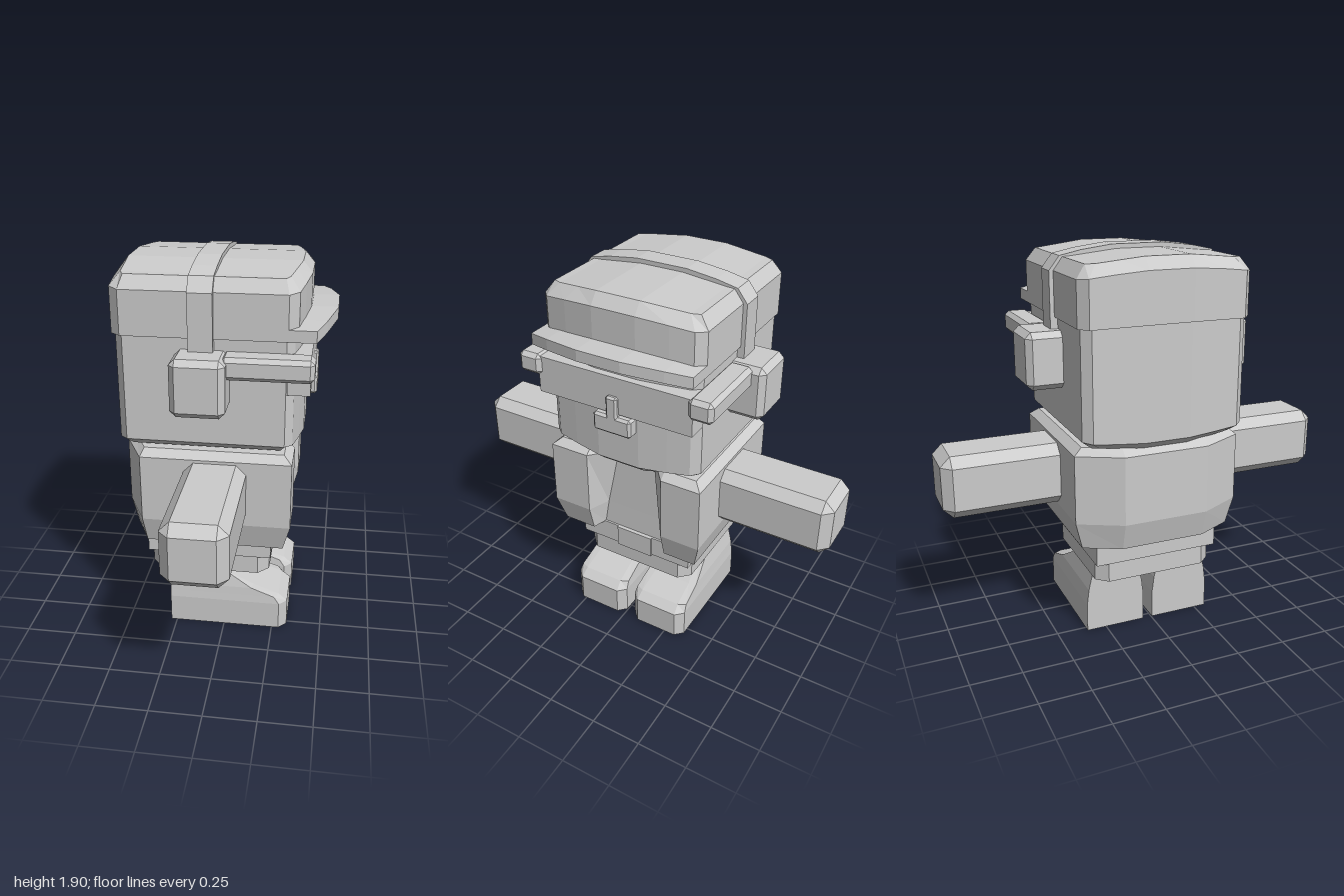
import * as THREE from 'three';
import { ConvexGeometry } from 'three/addons/geometries/ConvexGeometry.js';

const paleGrey = new THREE.MeshStandardMaterial({ color: 0xcccccc });
paleGrey.name = 'paleGrey';

function add(parent, geometry, name) {
  const mesh = new THREE.Mesh(geometry, paleGrey);
  mesh.name = name;
  parent.add(mesh);
  return mesh;
}

// Flat-faced loft. Each ring, from low to high, is a list of rows [z, xBack, xFront, y] with z rising.
function loft(rings) {
  const pos = [];
  const tri = (...pts) => pts.forEach(p => pos.push(...p));
  const quad = (a, b, c, d) => tri(a, b, c, a, c, d);
  const loops = rings.map(rows => [
    ...rows.map(([z, , xf, y]) => [xf, y, z]),
    ...rows.map(([z, xb, , y]) => [xb, y, z]).reverse(),
  ]);
  const n = loops[0].length;
  for (let j = 0; j + 1 < loops.length; j++) {
    for (let i = 0; i < n; i++) {
      const k = (i + 1) % n;
      quad(loops[j][i], loops[j + 1][i], loops[j + 1][k], loops[j][k]);
    }
  }
  const low = loops[0], top = loops[loops.length - 1];
  for (let i = 0; i + 1 < n / 2; i++) {
    quad(top[i], top[n - 1 - i], top[n - 2 - i], top[i + 1]);
    quad(low[i], low[i + 1], low[n - 2 - i], low[n - 1 - i]);
  }
  const g = new THREE.BufferGeometry();
  g.setAttribute('position', new THREE.Float32BufferAttribute(pos, 3));
  g.computeVertexNormals();
  return g;
}

// Mirrors rows given from the outer side (+z) to the middle
function mirrored(rows) {
  return [...rows.map(([z, ...r]) => [-z, ...r]), ...rows.slice().reverse()];
}

// Box with every edge cut by c
function chamferBox(x0, x1, y0, y1, z0, z1, c) {
  const h = [(x1 - x0) / 2, (y1 - y0) / 2, (z1 - z0) / 2];
  const pts = [];
  for (const sx of [-1, 1]) for (const sy of [-1, 1]) for (const sz of [-1, 1]) {
    for (let axis = 0; axis < 3; axis++) {
      const d = h.map((v, i) => (i === axis ? v : v - c));
      pts.push(new THREE.Vector3(sx * d[0], sy * d[1], sz * d[2]));
    }
  }
  return new ConvexGeometry(pts).translate((x0 + x1) / 2, (y0 + y1) / 2, (z0 + z1) / 2);
}

function box(x0, x1, y0, y1, z0, z1) {
  return new THREE.BoxGeometry(x1 - x0, y1 - y0, z1 - z0)
    .translate((x0 + x1) / 2, (y0 + y1) / 2, (z0 + z1) / 2);
}

// Bulging head outline, shrunk by inset; y differs at the sides, near the sides and in the middle
function headRing(inset, ys, yn, ym, grow = 0) {
  const o = grow - inset;
  return mirrored([
    [0.40 + o, -0.45 - o * 0.4, 0.295 + o * 0.4, ys],
    [0.36 + o, -0.488 - o, 0.33 + o, yn],
    [0.25 + o, -0.496 - o, 0.35 + o, (yn + ym) / 2],
    [0.11, -0.505 - o, 0.37 + o, ym],
  ]);
}

function torsoRing(y, inset, notchX, notchZ) {
  return mirrored([
    [0.418 - inset, -0.39 + inset * 0.4, 0.335 - inset, y],
    [0.21, -0.495 + inset, 0.335 - inset, y],
    [notchZ, -0.495 + inset, notchX, y],
  ]);
}

function footRing(y, xf, inset, corner) {
  const a = 0.025 + inset, b = 0.33 - inset;
  return [[a, -0.28, xf - corner, y], [a + 0.04, -0.28, xf, y],
    [b - 0.04, -0.28, xf, y], [b, -0.28, xf - corner, y]];
}

export function createModel() {
  const model = new THREE.Group();
  model.name = 'figure';
  const body = new THREE.Group();
  body.name = 'body';
  body.position.z = -0.02;
  model.add(body);

  // Head with a bevelled chin
  add(body, loft([
    headRing(0.05, 1.03, 1.025, 1.0),
    headRing(0, 1.07, 1.065, 1.045),
    headRing(0, 1.62, 1.62, 1.62),
  ]), 'head');

  // Cap with arched crown and curved brim
  add(body, loft([
    headRing(0, 1.58, 1.58, 1.585, 0.015),
    headRing(0, 1.79, 1.795, 1.82, 0.015),
    headRing(0.045, 1.85, 1.852, 1.875, 0.015),
  ]), 'cap');
  const brimRing = t => mirrored([
    [0.415, 0.2, 0.425, 1.58 + t], [0.30, 0.2, 0.465, 1.595 + t], [0.11, 0.2, 0.51, 1.61 + t]]);
  add(body, loft([brimRing(0), brimRing(0.055)]), 'capBrim');

  // Headband over the cap
  const arch = [[0.435, 1.45], [0.435, 1.79], [0.385, 1.855], [0.28, 1.877], [0.13, 1.896]];
  const outer = [...arch, ...arch.map(([u, y]) => [-u, y]).reverse()];
  const inner = outer.map(([u, y]) => [u * 0.88, y - 0.045]).reverse();
  inner[0][1] = inner[inner.length - 1][1] = 1.45;
  const band = new THREE.Shape([...outer, ...inner].map(p => new THREE.Vector2(...p)));
  add(body, new THREE.ExtrudeGeometry(band, { depth: 0.113, bevelEnabled: false })
    .rotateY(Math.PI / 2).translate(-0.143, 0, 0), 'headband');

  // Visor plate and nose piece
  add(body, box(0.3, 0.405, 1.33, 1.515, -0.405, 0.405), 'visor');
  add(body, chamferBox(0.34, 0.425, 1.225, 1.32, -0.1, 0.1, 0.012), 'nose');
  add(body, chamferBox(0.34, 0.425, 1.29, 1.42, -0.03, 0.03, 0.01), 'noseBridge');

  // Ear cups, side bars and feet on both sides
  for (const s of [1, -1]) {
    const side = s > 0 ? 'left' : 'right';
    const span = (a, b) => (s > 0 ? [a, b] : [-b, -a]);
    add(body, chamferBox(-0.21, 0.04, 1.255, 1.525, ...span(0.36, 0.57), 0.028), side + 'EarCup');
    add(body, chamferBox(0.01, 0.425, 1.42, 1.525, ...span(0.385, 0.507), 0.02), side + 'VisorBar');
    add(model, chamferBox(-0.18, 0.12, 0.665, 0.97, ...span(0.3, 1), 0.048), side + 'Arm');
    const rings = [
      footRing(0, 0.325, 0, 0.04), footRing(0.145, 0.325, 0, 0.04),
      footRing(0.182, 0.28, 0.005, 0.02), footRing(0.225, 0.15, 0.01, 0.01),
      footRing(0.31, 0, 0.03, 0),
    ];
    const flip = rows => rows.map(([z, ...r]) => [-z, ...r]).reverse();
    add(body, loft(s > 0 ? rings : rings.map(flip)), side + 'Foot');
  }

  // Open jacket, its gap widening downward around the shirt
  add(body, loft([
    torsoRing(0.515, 0.035, 0.225, 0.185),
    torsoRing(0.65, 0, 0.22, 0.165),
    torsoRing(0.985, 0, 0.21, 0.1),
    torsoRing(1.02, 0.04, 0.2, 0.09),
  ]), 'jacket');

  // Belt, buckle and hips
  add(body, box(-0.39, 0.235, 0.41, 0.52, -0.315, 0.315), 'belt');
  add(body, box(0.2, 0.245, 0.405, 0.52, -0.1, 0.1), 'buckle');
  const hipRing = y => mirrored([[0.305, -0.33, 0.17, y], [0.25, -0.38, 0.225, y]]);
  add(body, loft([hipRing(0.31), hipRing(0.415)]), 'hips');

  return model;
}
